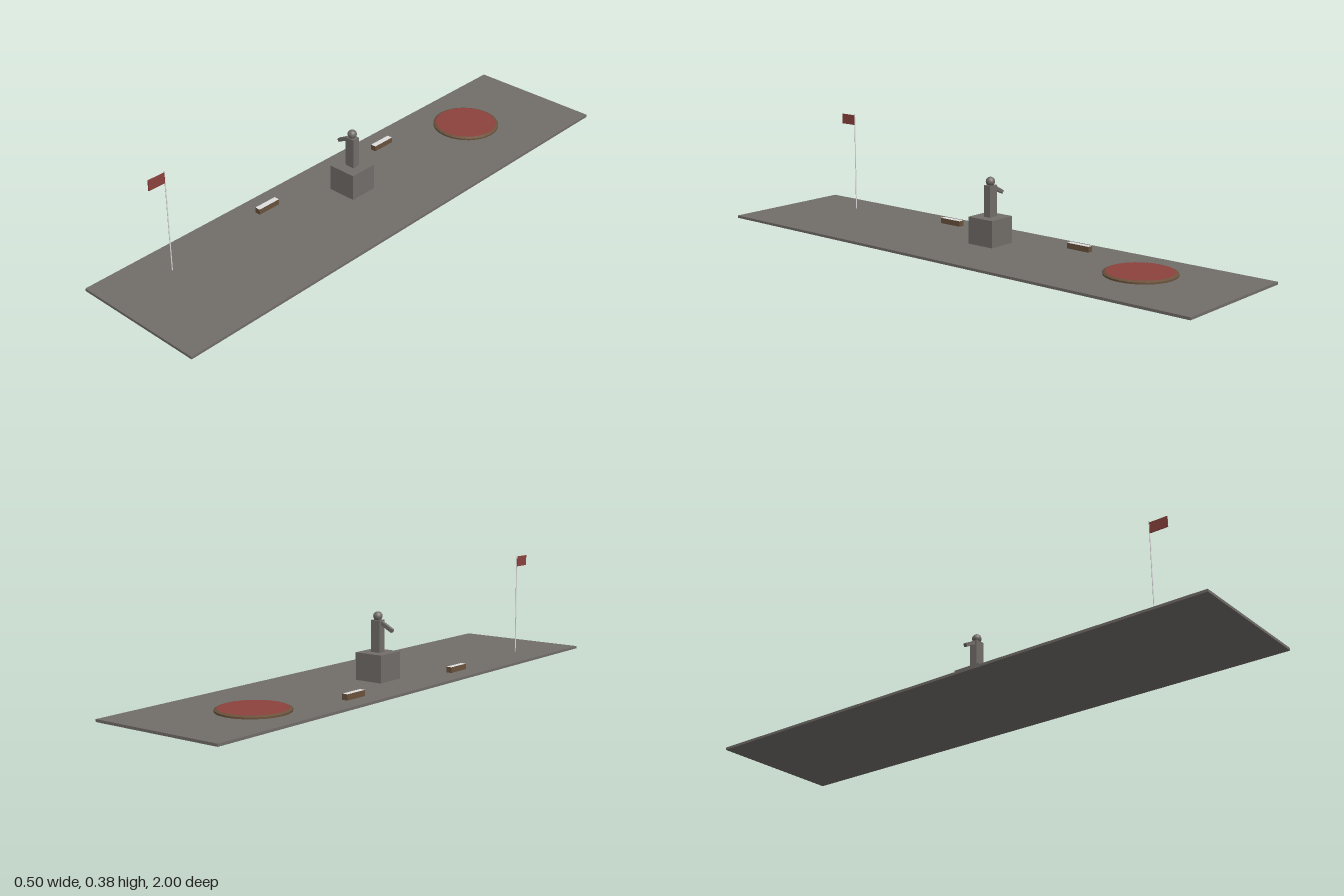
import * as THREE from 'three';

const paint = (name, color) => {
  const m = new THREE.MeshStandardMaterial({ color });
  m.name = name;
  return m;
};

export function createModel() {
  const stone = paint('stone grey', 0x716d69);
  const red = paint('brick red', 0x8c423d);
  const brown = paint('timber brown', 0x6a523c);
  const light = paint('pale grey', 0xdedede);

  const model = new THREE.Group();
  model.name = 'plaza';
  const add = (name, geometry, material, x, y, z, parent = model) => {
    const mesh = new THREE.Mesh(geometry, material);
    mesh.name = name;
    mesh.position.set(x, y, z);
    parent.add(mesh);
    return mesh;
  };
  const box = (w, h, d) => new THREE.BoxGeometry(w, h, d);
  const floor = 0.009;
  const axisX = -0.043;

  // Paved ground slab
  add('pavement', box(0.5, floor, 2), stone, 0, floor / 2, 0);

  // Statue pointing sideways on a block pedestal
  const statue = new THREE.Group();
  statue.name = 'statue';
  statue.position.x = axisX;
  model.add(statue);
  add('pedestal', box(0.107, 0.095, 0.107), stone, 0, floor + 0.0475, 0, statue);
  add('body', box(0.036, 0.11, 0.028), stone, 0, 0.159, 0, statue);
  add('head', new THREE.SphereGeometry(0.016, 24, 16), stone, 0, 0.227, 0, statue);
  const arm = add('arm', box(0.066, 0.0125, 0.012), stone, -0.033, 0.1965, 0, statue);
  arm.rotation.z = 0.49;

  // Benches with pale seats, either side of the statue
  const benchMaterials = [brown, brown, light, brown, brown, brown];
  for (const side of [1, -1]) {
    add('bench', box(0.021, 0.02, 0.091), benchMaterials, -0.168, floor + 0.01, side * 0.291);
  }

  // Round bed: stepped rim with a red top
  const rim = [[0.122, floor], [0.122, 0.015], [0.113, 0.019]].map(p => new THREE.Vector2(...p));
  const rimGeometry = new THREE.LatheGeometry(rim, 24).toNonIndexed();
  rimGeometry.computeVertexNormals();
  add('bedRim', rimGeometry, brown, axisX, 0, -0.627);
  const bedTop = new THREE.CircleGeometry(0.113, 24).rotateX(-Math.PI / 2);
  add('bedTop', bedTop, red, axisX, 0.019, -0.627);

  // Flagpole and flag
  add('flagpole', new THREE.CylinderGeometry(0.0019, 0.0019, 0.367, 12), light, -0.127, floor + 0.1835, 0.75);
  add('flag', box(0.004, 0.037, 0.064), red, -0.127, 0.3525, 0.783);

  return model;
}
